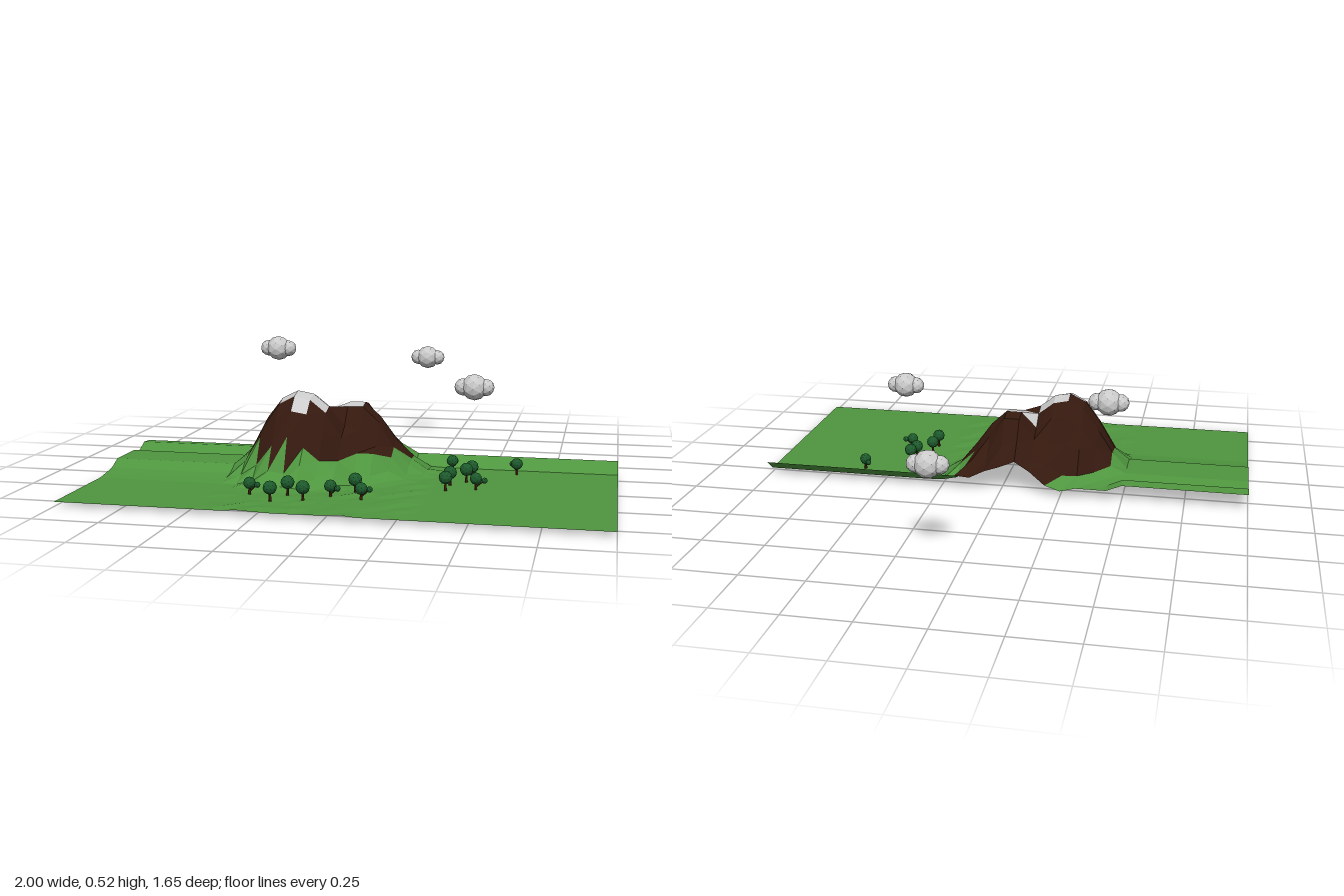
import * as THREE from 'three';

const mat = (color, side = THREE.FrontSide) => new THREE.MeshStandardMaterial({ color, flatShading: true, side });
const NX = 32, NZ = 16, Z0 = -0.085, DX = 2 / NX, DZ = 0.91 / NZ, BASE = 0.018;

// Piecewise-linear lookup through [position, value] pairs
function lerpProfile(points, t) {
  if (t <= points[0][0]) return points[0][1];
  for (let i = 1; i < points.length; i++) {
    const [a, va] = points[i - 1], [b, vb] = points[i];
    if (t <= b) return va + (vb - va) * (t - a) / (b - a);
  }
  return points[points.length - 1][1];
}

// Repeatable noise in -1..1 per grid point
function noise(i, j) {
  const s = Math.sin(i * 127.1 + j * 311.7) * 43758.5453;
  return (s - Math.floor(s)) * 2 - 1;
}

// Slopes of the two peaks by distance, and the terraces along the left side by z
const mainPeak = [[0, 0.36], [0.06, 0.34], [0.12, 0.285], [0.17, 0.19], [0.21, 0.11], [0.25, 0.06], [0.3, BASE]];
const sidePeak = [[0, 0.31], [0.07, 0.285], [0.13, 0.18], [0.19, 0.1], [0.24, 0.045], [0.3, BASE]];
const terraces = [[-0.085, 0.07], [-0.028, 0.074], [0.029, 0.047], [0.086, 0.06], [0.256, 0.06], [0.313, 0.034], [0.37, 0.025], [0.427, BASE]];

function height(i, j) {
  const x = -1 + i * DX, z = Z0 + j * DZ;
  const ground = x <= -0.5 ? lerpProfile(terraces, z)
    : x < -0.3 ? BASE + (lerpProfile(terraces, z) - BASE) * 0.5
    : j === 0 && x > 0.15 ? 0.063 : BASE;
  if (x <= -0.5 || x > 0.3) return ground;
  const a = lerpProfile(mainPeak, Math.hypot(x + 0.235, z - 0.2));
  const b = lerpProfile(sidePeak, Math.hypot(x + 0.03, z - 0.09));
  const h = Math.max(a, b);
  // Gullies are deepest on the mid slopes
  const rough = 0.032 * Math.max(0, 1 - Math.abs(h - 0.13) / 0.14);
  return Math.max(ground, BASE, h + noise(i, j) * rough);
}

function terrain() {
  const group = new THREE.Group();
  group.name = 'terrain';
  const faces = { grass: [], rock: [], snow: [] };
  const snowCells = ['12,4', '13,4', '11,5', '12,5', '13,5', '12,6', '14,3', '15,3'];
  const corner = (i, j) => [-1 + i * DX, height(i, j), Z0 + j * DZ];
  for (let i = 0; i < NX; i++) {
    for (let j = 0; j < NZ; j++) {
      const a = corner(i, j), b = corner(i, j + 1), c = corner(i + 1, j + 1), d = corner(i + 1, j);
      for (const tri of [[a, b, d], [b, c, d]]) {
        const y = (tri[0][1] + tri[1][1] + tri[2][1]) / 3;
        const kind = snowCells.includes(`${i},${j}`) ? 'snow' : y > 0.085 + 0.12 * a[2] ? 'rock' : 'grass';
        faces[kind].push(...tri.flat());
      }
    }
  }
  const colors = { grass: 0x4f963f, rock: 0x35190f, snow: 0xcccccc };
  for (const kind in faces) {
    const geo = new THREE.BufferGeometry();
    geo.setAttribute('position', new THREE.Float32BufferAttribute(faces[kind], 3));
    geo.computeVertexNormals();
    const mesh = new THREE.Mesh(geo, mat(colors[kind], THREE.DoubleSide));
    mesh.name = kind;
    group.add(mesh);
  }
  return group;
}

function add(parent, name, geo, material, x, y, z) {
  const mesh = new THREE.Mesh(geo, material);
  mesh.name = name;
  mesh.position.set(x, y, z);
  parent.add(mesh);
  return mesh;
}

export function createModel() {
  const model = new THREE.Group();
  model.name = 'mountainLandscape';
  model.add(terrain());

  // Clouds: a large puff with a smaller one on each side
  const cloudMat = mat(0xcccccc);
  const puff = new THREE.IcosahedronGeometry(0.052, 1);
  for (const [x, y, z] of [[-0.455, 0.468, -0.24], [0.115, 0.377, -0.775], [0.44, 0.377, 0.12]]) {
    const cloud = new THREE.Group();
    cloud.name = 'cloud';
    cloud.position.set(x, y, z);
    add(cloud, 'middlePuff', puff, cloudMat, 0, 0, 0);
    for (const s of [-1, 1]) add(cloud, 'sidePuff', puff, cloudMat, s * 0.044, 0, 0).scale.setScalar(0.66);
    model.add(cloud);
  }

  // Trees: tall ones, and shorter ones with a side branch
  const leafMat = mat(0x1d5a2c), barkMat = mat(0x4a2612);
  const crown = new THREE.IcosahedronGeometry(0.026, 1);
  const trunk = new THREE.CylinderGeometry(0.004, 0.007, 0.055, 6);
  const branch = new THREE.CylinderGeometry(0.002, 0.003, 0.034, 5);
  // x, z, and branch offsets in x and z when there is one
  const trees = [
    [-0.34, 0.57, 0.03, 0], [-0.195, 0.565], [-0.235, 0.66], [-0.12, 0.63],
    [-0.035, 0.555, 0.03, 0.015], [0.04, 0.47], [0.085, 0.575, 0.028, -0.015],
    [0.345, 0.03, 0.01, -0.025], [0.605, 0.04, -0.02, -0.025], [0.425, 0.215],
    [0.37, 0.28], [0.365, 0.37], [0.475, 0.33, 0.033, 0.003], [0.44, 0.165],
  ];
  trees.forEach(([x, z, bx, bz], n) => {
    const tree = new THREE.Group();
    tree.name = 'tree';
    tree.position.set(x, 0, z);
    const branched = bx !== undefined;
    add(tree, 'trunk', trunk, barkMat, 0, 0.0275, 0);
    const top = add(tree, 'crown', crown, leafMat, 0, branched ? 0.061 : 0.069, 0);
    top.scale.setScalar(branched ? 0.9 : 1);
    top.rotation.y = n;
    if (branched) {
      add(tree, 'sideCrown', crown, leafMat, bx, 0.055, bz).scale.setScalar(0.45);
      const limb = add(tree, 'branch', branch, barkMat, bx / 2, 0.042, bz / 2);
      limb.quaternion.setFromUnitVectors(new THREE.Vector3(0, 1, 0), new THREE.Vector3(bx, 0.026, bz).normalize());
    }
    model.add(tree);
  });
  return model;
}
